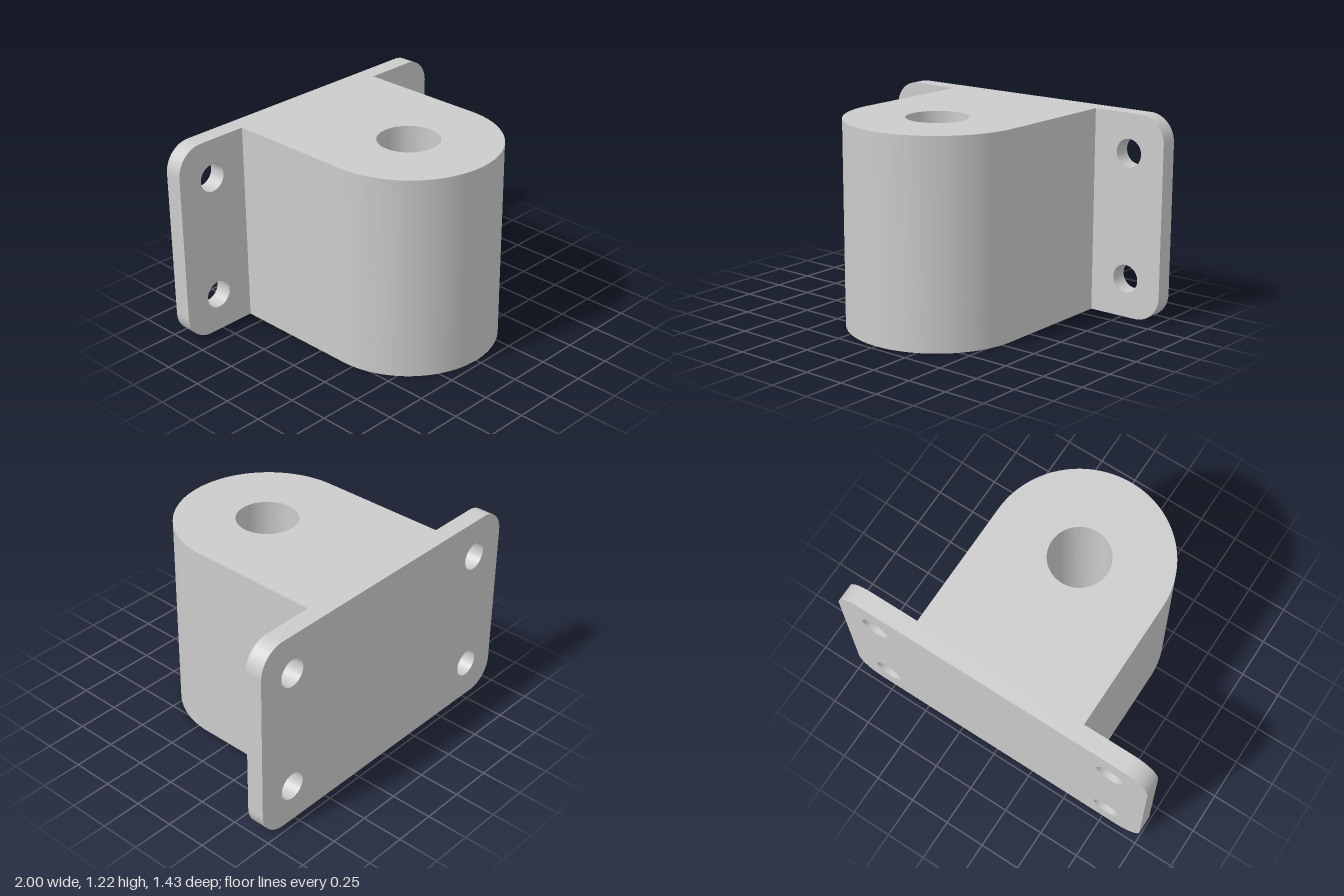
import * as THREE from 'three';
import { toCreasedNormals } from 'three/addons/utils/BufferGeometryUtils.js';

const HEIGHT = 1.215;
const BACK = -0.713, PLATE = 0.107;          // rear face and plate thickness
const RADIUS = 0.533, AXIS_Z = 0.18;         // rounded nose of the housing
const BORE = 0.18, SEAT = 0.391, SEAT_DEPTH = 0.25;

const material = new THREE.MeshStandardMaterial({ color: 0xcccccc });

function addHole(shape, x, y, r) {
  shape.holes.push(new THREE.Path().absarc(x, y, r, 0, Math.PI * 2, true));
}

function extrude(shape, depth) {
  return new THREE.ExtrudeGeometry(shape, { depth, bevelEnabled: false, curveSegments: 48 });
}

function makeMesh(name, geometry) {
  const mesh = new THREE.Mesh(toCreasedNormals(geometry, 0.5), material);
  mesh.name = name;
  return mesh;
}

// U-shaped slab of the housing between two heights, pierced on its axis
function housingSlab(name, y0, y1, holeRadius) {
  const front = BACK + PLATE;
  const s = new THREE.Shape();
  s.moveTo(-RADIUS, front);
  s.lineTo(RADIUS, front);
  s.lineTo(RADIUS, AXIS_Z);
  s.absarc(0, AXIS_Z, RADIUS, 0, Math.PI, false);
  s.closePath();
  addHole(s, 0, AXIS_Z, holeRadius);
  const g = extrude(s, y1 - y0);
  g.rotateX(Math.PI / 2);
  g.translate(0, y1, 0);
  return makeMesh(name, g);
}

// Rounded mounting plate with four screw holes
function mountingPlate() {
  const r = 0.16, w = 1, h = HEIGHT;
  const s = new THREE.Shape();
  s.absarc(w - r, r, r, -Math.PI / 2, 0, false);
  s.absarc(w - r, h - r, r, 0, Math.PI / 2, false);
  s.absarc(-w + r, h - r, r, Math.PI / 2, Math.PI, false);
  s.absarc(-w + r, r, r, Math.PI, Math.PI * 1.5, false);
  s.closePath();
  for (const x of [-0.768, 0.768])
    for (const y of [0.233, 0.982]) addHole(s, x, y, 0.083);
  const g = extrude(s, PLATE);
  g.translate(0, 0, BACK);
  return makeMesh('mountingPlate', g);
}

export function createModel() {
  const model = new THREE.Group();
  model.name = 'bearingBracket';
  model.add(
    mountingPlate(),
    housingSlab('housingWithBore', SEAT_DEPTH, HEIGHT, BORE),
    housingSlab('bearingSeat', 0, SEAT_DEPTH, SEAT)
  );
  return model;
}
